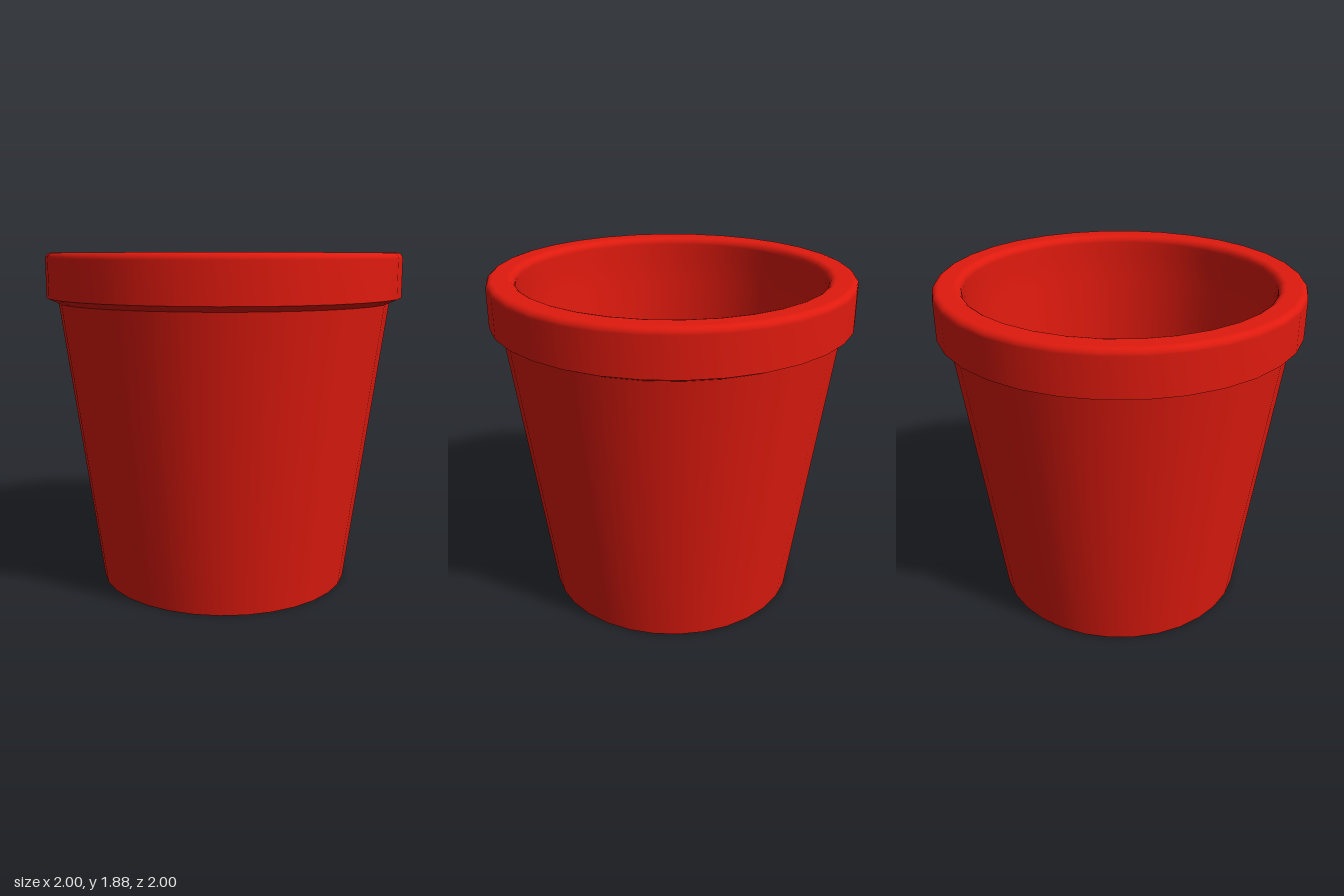
import * as THREE from 'three';

const SEGMENTS = 32;
const material = new THREE.MeshStandardMaterial({ color: 0xe01a0e });

// Revolves one smooth stretch of the profile; separate stretches keep creases sharp.
function addRing(group, name, profile) {
  const points = profile.map(([r, y]) => new THREE.Vector2(r, y));
  const mesh = new THREE.Mesh(new THREE.LatheGeometry(points, SEGMENTS), material);
  mesh.name = name;
  group.add(mesh);
}

// Quarter-round points from startAngle to startAngle + 90 degrees.
function roundCorner(cx, cy, radius, startAngle, steps = 4) {
  return Array.from({ length: steps + 1 }, (_, i) => {
    const a = startAngle + (i / steps) * Math.PI / 2;
    return [cx + radius * Math.cos(a), cy + radius * Math.sin(a)];
  });
}

export function createModel() {
  const pot = new THREE.Group();
  pot.name = 'flowerPot';

  // Base and tapered outer wall
  addRing(pot, 'base', [[0, 0], [0.72, 0]]);
  addRing(pot, 'outerWall', [[0.72, 0], [0.935, 1.61]]);

  // Collar: sloped underside, then band with rounded lip
  addRing(pot, 'collarUnderside', [[0.935, 1.61], [1, 1.64]]);
  addRing(pot, 'collar', [
    [1, 1.64],
    ...roundCorner(0.965, 1.85, 0.035, 0),
    ...roundCorner(0.885, 1.845, 0.04, Math.PI / 2),
    [0.845, 1.78],
    [0.84, 1.6],
    [0.72, 0.01],
  ]);

  // Floor inside the pot
  addRing(pot, 'floor', [[0.72, 0.01], [0, 0.01]]);

  return pot;
}
